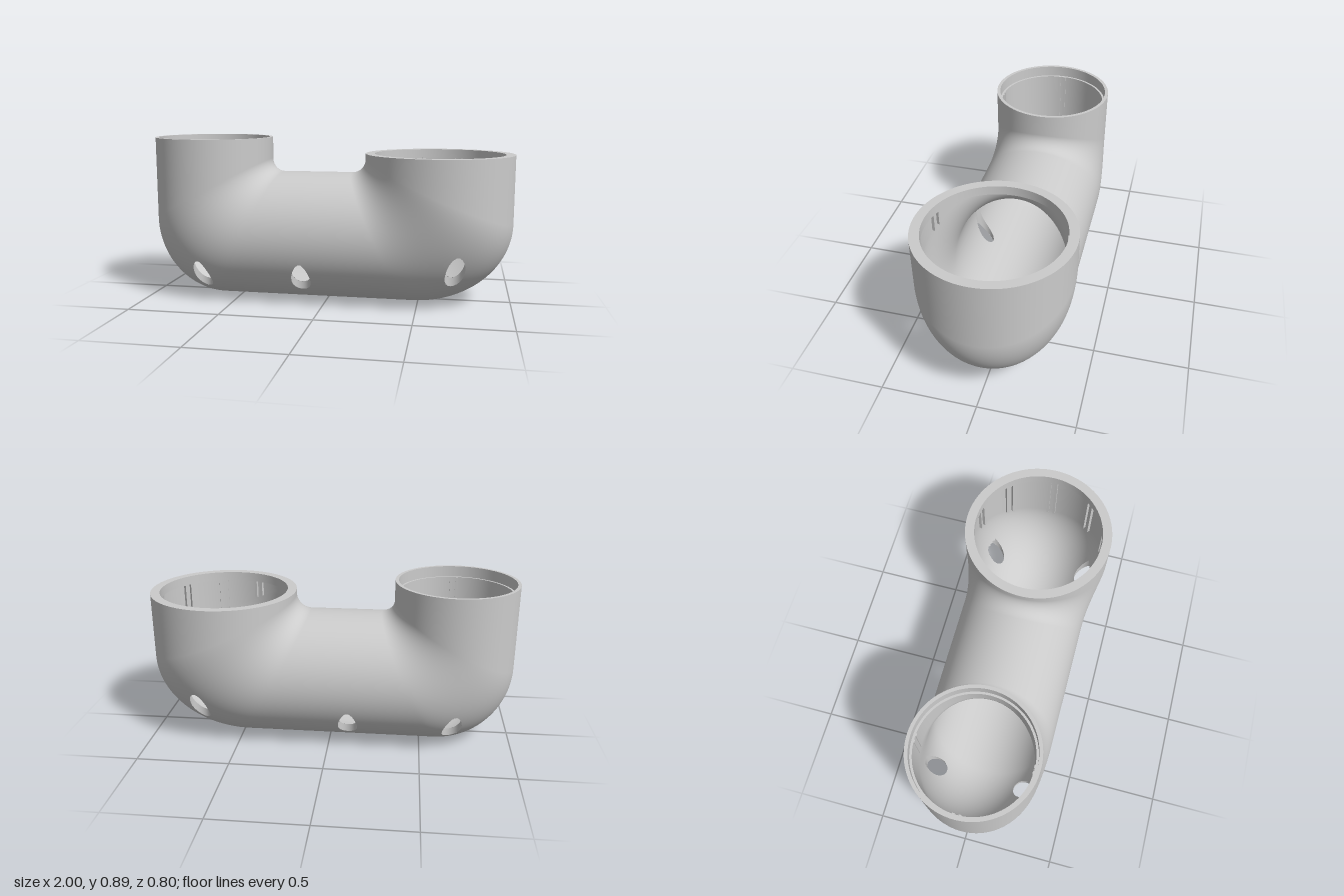
import * as THREE from 'three';
import { toCreasedNormals } from 'three/addons/utils/BufferGeometryUtils.js';

const SIDES = 128, WALL = 0.03, PIPE_R = 0.35, PIPE_MID = 0.35;

// Two upright sockets: outer bend = ellipse, inner bend = round fillet
const LEFT_END = { s: -1, cx: -0.67, r: 0.33, top: 0.89, lip: 0.06, bend: [-0.6, 0.42, 0.4, 0.42], fillet: [-0.27, 0.77, 0.07] };
const RIGHT_END = { s: 1, cx: 0.6, r: 0.4, top: 0.81, lip: 0.05, bend: [0.48, 0.44, 0.52, 0.44], fillet: [0.12, 0.78, 0.08] };

// Vertical drain holes [x, z, radius]
const HOLES = [[-0.67, 0.25], [-0.11, 0.28], [0.7, 0.28]]
  .flatMap(([x, z]) => [[x, z, 0.052], [x, -z, 0.052]]);

// Rings of one socket from its rim to the end of its bend, inset by t
function endRings(e, t) {
  const rings = [];
  const top = e.top - (t > 0 ? e.lip : 0);
  rings.push({ o: [e.cx + e.s * (e.r - t), top], i: [e.cx - e.s * (e.r - t), top + (t > 0 ? 0.001 : 0)], w: e.r - t });
  const n = 44, [bx, by, rx, ry] = e.bend, [fx, fy, fr] = e.fillet;
  for (let k = 0; k <= n; k++) {
    const a = (k / n) * Math.PI / 2, c = Math.cos(a), s = Math.sin(a);
    rings.push({
      o: [bx + e.s * (rx - t) * c, by - (ry - t) * s],
      i: [fx + e.s * (fr + t) * c, fy - (fr + t) * s],
      w: THREE.MathUtils.lerp(e.r, PIPE_R, THREE.MathUtils.smoothstep(k / n, 0, 1)) - t,
    });
  }
  return rings;
}

// Whole tube surface, swept through elliptical rings
function tubeSurface(t, inward) {
  const a = endRings(LEFT_END, t), b = endRings(RIGHT_END, t).reverse();
  const p = a[a.length - 1], q = b[0], mid = [];
  const mix = (u, v, k) => [u[0] + (v[0] - u[0]) * k, u[1] + (v[1] - u[1]) * k];
  for (let k = 1; k < 48; k++) {
    mid.push({ o: mix(p.o, q.o, k / 48), i: mix(p.i, q.i, k / 48), w: p.w });
  }
  const rings = [...a, ...mid, ...b], pos = [], index = [];
  rings.forEach(({ o, i, w }, k) => {
    for (let j = 0; j < SIDES; j++) {
      const th = (j / SIDES) * Math.PI * 2, c = Math.cos(th) / 2;
      pos.push((o[0] + i[0]) / 2 + c * (o[0] - i[0]), (o[1] + i[1]) / 2 + c * (o[1] - i[1]), w * Math.sin(th));
      if (k === rings.length - 1) continue;
      const A = k * SIDES + j, D = k * SIDES + (j + 1) % SIDES, B = A + SIDES, C = D + SIDES;
      if (inward) index.push(A, D, B, B, D, C);
      else index.push(A, B, D, B, C, D);
    }
  });
  const g = new THREE.BufferGeometry();
  g.setAttribute('position', new THREE.Float32BufferAttribute(pos, 3));
  g.setIndex(index);
  g.computeVertexNormals();
  return g;
}

// Trim the triangles of the lower half against the round drain holes
function drill(g) {
  const P = g.attributes.position, N = g.attributes.normal, pos = [], nor = [];
  const emit = (v) => { pos.push(v[0], v[1], v[2]); nor.push(v[3], v[4], v[5]); };
  const vert = (i) => [P.getX(i), P.getY(i), P.getZ(i), N.getX(i), N.getY(i), N.getZ(i)];
  for (let f = 0; f < g.index.count; f += 3) {
    let poly = [0, 1, 2].map((k) => vert(g.index.getX(f + k)));
    for (const [hx, hz, r] of HOLES) {
      const d = poly.map((v) => (v[1] > PIPE_MID ? 1 : Math.hypot(v[0] - hx, v[2] - hz) - r));
      if (d.every((x) => x >= 0)) continue;
      const out = [];
      poly.forEach((v, k) => {
        const m = (k + 1) % poly.length, w = poly[m];
        if (d[k] >= 0) out.push(v);
        if ((d[k] >= 0) !== (d[m] >= 0)) {
          const s = d[k] / (d[k] - d[m]);
          out.push(v.map((x, c) => x + (w[c] - x) * s));
        }
      });
      poly = out;
      if (!poly.length) break;
    }
    for (let k = 1; k + 1 < poly.length; k++) [poly[0], poly[k], poly[k + 1]].forEach(emit);
  }
  const out = new THREE.BufferGeometry();
  out.setAttribute('position', new THREE.Float32BufferAttribute(pos, 3));
  out.setAttribute('normal', new THREE.Float32BufferAttribute(nor, 3));
  return out;
}

// Side wall of a drain hole, running from the outer to the inner skin
function holeWall([hx, hz, r], outer, inner, mat) {
  const ray = new THREE.Raycaster(), up = new THREE.Vector3(0, 1, 0), n = 32;
  const g = new THREE.CylinderGeometry(r, r, 1, n, 1, true);
  const P = g.attributes.position;
  for (let k = 0; k < P.count; k++) {
    const x = hx + P.getX(k), z = hz + P.getZ(k);
    ray.set(new THREE.Vector3(x, -1, z), up);
    const hit = ray.intersectObject(P.getY(k) < 0 ? outer : inner)[0];
    P.setXYZ(k, x, hit ? Math.min(hit.point.y, PIPE_MID) : PIPE_MID, z);
  }
  const m = new THREE.Mesh(g, mat);
  m.name = 'drainHoleWall';
  return m;
}

export function createModel() {
  const model = new THREE.Group();
  const mat = new THREE.MeshStandardMaterial({ color: 0xcccccc, side: THREE.DoubleSide });
  const add = (name, geo, parent = model) => {
    const m = new THREE.Mesh(geo, mat);
    m.name = name;
    parent.add(m);
    return m;
  };

  // Outer and inner skins of the tube
  const outer = tubeSurface(0, false), inner = tubeSurface(WALL, true);
  add('outerShell', drill(outer));
  add('innerShell', drill(inner));

  // Drain hole walls
  const outerSolid = new THREE.Mesh(outer, mat), innerSolid = new THREE.Mesh(inner, mat);
  HOLES.forEach((h) => model.add(holeWall(h, outerSolid, innerSolid, mat)));

  // Stepped rims: a recess in the narrow socket, a lip in the wide one
  const rim = (name, e, innerR) => {
    const y = e.top - e.lip;
    const pts = [[e.r, e.top], [innerR, e.top], [innerR, y], [e.r - WALL, y]];
    const lathe = new THREE.LatheGeometry(pts.map(([a, b]) => new THREE.Vector2(a, b)), SIDES);
    add(name, toCreasedNormals(lathe, 0.6)).position.x = e.cx;
  };
  rim('rightSocketRim', LEFT_END, 0.312);
  rim('leftSocketRim', RIGHT_END, 0.35);

  // Upright ribs inside the sockets, ending where the bend begins
  const ribs = (name, e, angles, depth) => {
    const group = new THREE.Group();
    group.name = name;
    group.position.x = e.cx;
    for (const deg of angles) {
      const a = THREE.MathUtils.degToRad(deg), c = Math.cos(a), r = e.r - WALL - depth / 2 + 0.003;
      const low = THREE.MathUtils.lerp(e.fillet[1], e.bend[1], (1 + c * e.s) / 2);
      const high = e.top - e.lip;
      const rib = add('rib', new THREE.BoxGeometry(depth, high - low, 0.014), group);
      rib.position.set(r * c, (high + low) / 2, r * Math.sin(a));
      rib.rotation.y = -a;
    }
    model.add(group);
  };
  const pairs = (list) => list.flatMap((d) => [d - 3, d + 3]);
  ribs('leftSocketRibs', RIGHT_END, pairs([-110, -75, -40, 0, 40, 75, 110]), 0.02);
  ribs('rightSocketRibs', LEFT_END, pairs([90, 180, 270]), 0.008);

  return model;
}
